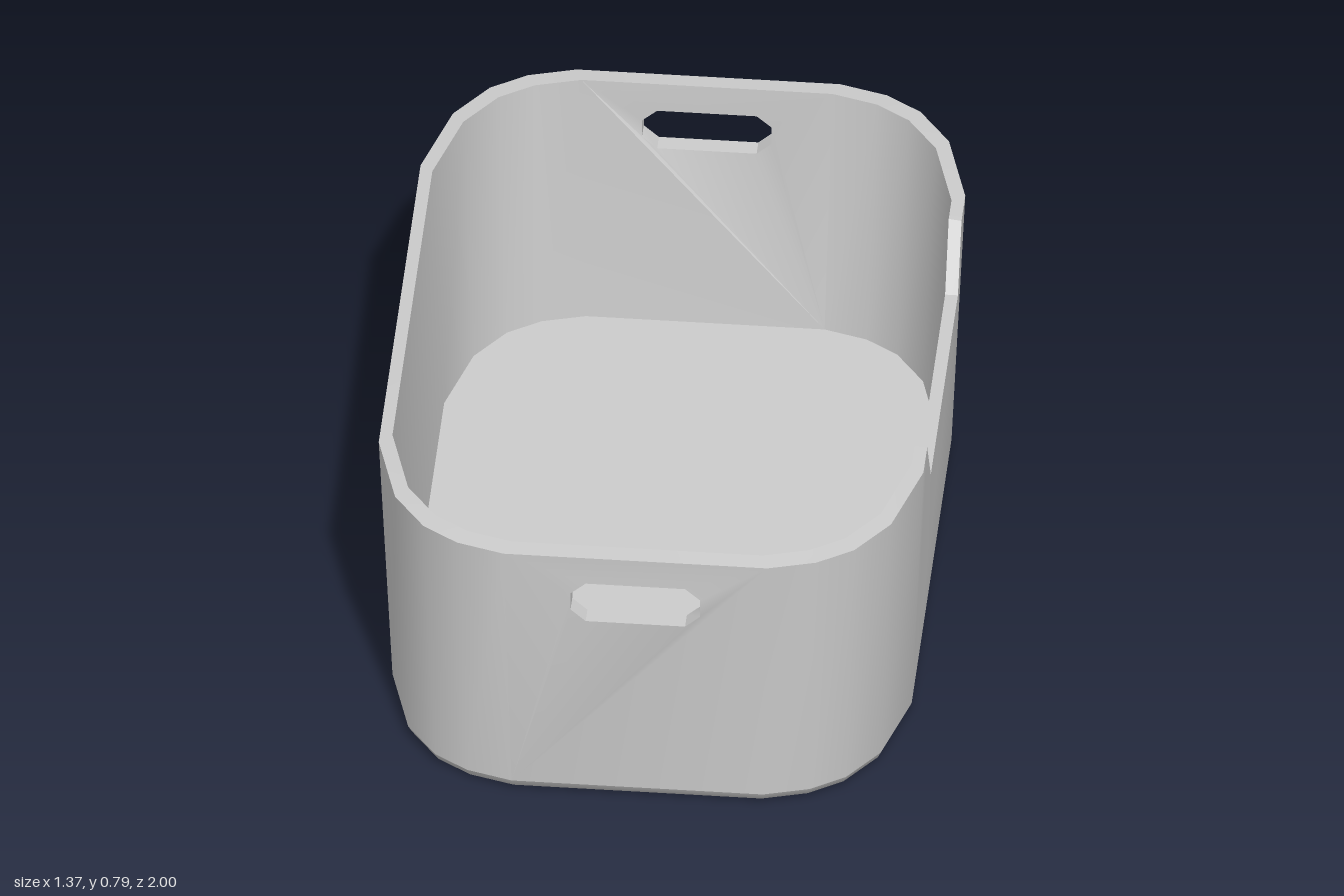
import * as THREE from 'three';
import { mergeGeometries, toCreasedNormals } from 'three/addons/utils/BufferGeometryUtils.js';

// heights: rim, lower outer edge, inner floor; LIP is the slight outward fall of the rim
const TOP = 0.788, BASE = 0.034, FLOOR = 0.08, LIP = 0.004;
// outline scale of the outer and inner skin, at the rim and at the bottom
const OUT_TOP = 1, OUT_LOW = 0.953, IN_TOP = 0.953, IN_LOW = 0.906;
// one rounded corner of the rim, from the long side to the short side
const CORNER = [[0.6846, 0.5713], [0.6233, 0.7913], [0.5413, 0.9053], [0.4513, 0.9653], [0.3313, 1]];
const [HALF_X, STRAIGHT_Z] = CORNER[0];
const STRAIGHT_X = CORNER[4][0];

// full rim outline: +x, +z, -x, -z
const mirror = (sx, sz) => CORNER.map(([x, z]) => [x * sx, z * sz]);
const RING = [...mirror(1, 1), ...mirror(-1, 1).reverse(), ...mirror(-1, -1), ...mirror(1, -1).reverse()];

const at = (i, y, s) => { const p = RING[i % RING.length]; return [p[0] * s, y, p[1] * s]; };

function fromTriangles(list) {
  const g = new THREE.BufferGeometry();
  g.setAttribute('position', new THREE.Float32BufferAttribute(list, 3));
  return g;
}
const quad = (out, a, b, c, d) => out.push(...a, ...b, ...c, ...a, ...c, ...d);

// band between two levels; facing out when the first is the lower one
function band(out, i, [y0, s0], [y1, s1]) {
  quad(out, at(i + 1, y0, s0), at(i, y0, s0), at(i, y1, s1), at(i + 1, y1, s1));
}

// straight wall cut from a flat shape; only its foot is drawn inwards
function panel(half, dist, outline, hole, angle) {
  const shape = new THREE.Shape(outline.map((p) => new THREE.Vector2(...p)));
  if (hole) shape.holes.push(new THREE.Path(hole.map((p) => new THREE.Vector2(...p))));
  const g = new THREE.ExtrudeGeometry(shape, { depth: 1, bevelEnabled: false });
  const p = g.attributes.position;
  for (let i = 0; i < p.count; i++) {
    const u = p.getX(i), outer = p.getZ(i) > 0.5;
    const foot = p.getY(i) < BASE + 1e-4, rim = p.getY(i) > TOP - 1e-4;
    const s = outer ? (foot ? OUT_LOW : OUT_TOP) : (foot ? IN_LOW : IN_TOP);
    let y = p.getY(i);
    if (foot) y = outer ? BASE : FLOOR;
    if (rim) y = outer ? TOP - LIP : TOP;
    const edge = Math.abs(u) > half - 1e-4;
    p.setXYZ(i, edge ? u * s : u, y, dist * s);
  }
  g.deleteAttribute('uv');
  g.deleteAttribute('normal');
  return g.rotateY(angle);
}

export function createModel() {
  const group = new THREE.Group();
  const material = new THREE.MeshStandardMaterial({ color: 0xcccccc });
  const add = (name, geometry, crease) => {
    const mesh = new THREE.Mesh(toCreasedNormals(geometry, crease), material);
    mesh.name = name;
    group.add(mesh);
  };

  // rounded corners: outer skin, rim and inner skin
  const corners = [];
  for (let q = 0; q < 4; q++) {
    for (let k = 0; k < 4; k++) {
      const i = q * 5 + k;
      band(corners, i, [BASE, OUT_LOW], [TOP - LIP, OUT_TOP]);
      band(corners, i, [TOP - LIP, OUT_TOP], [TOP, IN_TOP]);
      band(corners, i, [TOP, IN_TOP], [FLOOR, IN_LOW]);
    }
  }

  // end walls with chamfered hand holes
  const w = STRAIGHT_X;
  const endOutline = [[-w, BASE], [w, BASE], [w, TOP], [-w, TOP]];
  const handHole = [[-0.163, 0.62], [-0.163, 0.671], [-0.125, 0.704], [0.125, 0.704],
    [0.163, 0.671], [0.163, 0.62], [0.125, 0.586], [-0.125, 0.586]];
  // long walls, one of them with the access notch
  const z = STRAIGHT_Z;
  const sideOutline = [[-z, BASE], [z, BASE], [z, TOP], [-z, TOP]];
  const notchOutline = [[-z, BASE], [z, BASE], [z, TOP], [0.468, TOP],
    [0.37, 0.624], [-0.37, 0.624], [-0.468, TOP], [-z, TOP]];

  add('walls', mergeGeometries([
    fromTriangles(corners),
    panel(w, 1, endOutline, handHole, 0),
    panel(w, 1, endOutline, handHole, Math.PI),
    panel(z, HALF_X, notchOutline, null, Math.PI / 2),
    panel(z, HALF_X, sideOutline, null, -Math.PI / 2),
  ]), 0.6);

  // rounded lower edge, underside and inner floor
  const base = [], floor = [];
  for (let i = 0; i < RING.length; i++) {
    band(base, i, [0.011, 0.94], [BASE, OUT_LOW]);
    band(base, i, [0, 0.908], [0.011, 0.94]);
    base.push(0, 0, 0, ...at(i, 0, 0.908), ...at(i + 1, 0, 0.908));
    floor.push(0, FLOOR, 0, ...at(i + 1, FLOOR, IN_LOW), ...at(i, FLOOR, IN_LOW));
  }
  add('base', fromTriangles(base), 0.95);
  add('floor', fromTriangles(floor), 0.5);
  return group;
}
